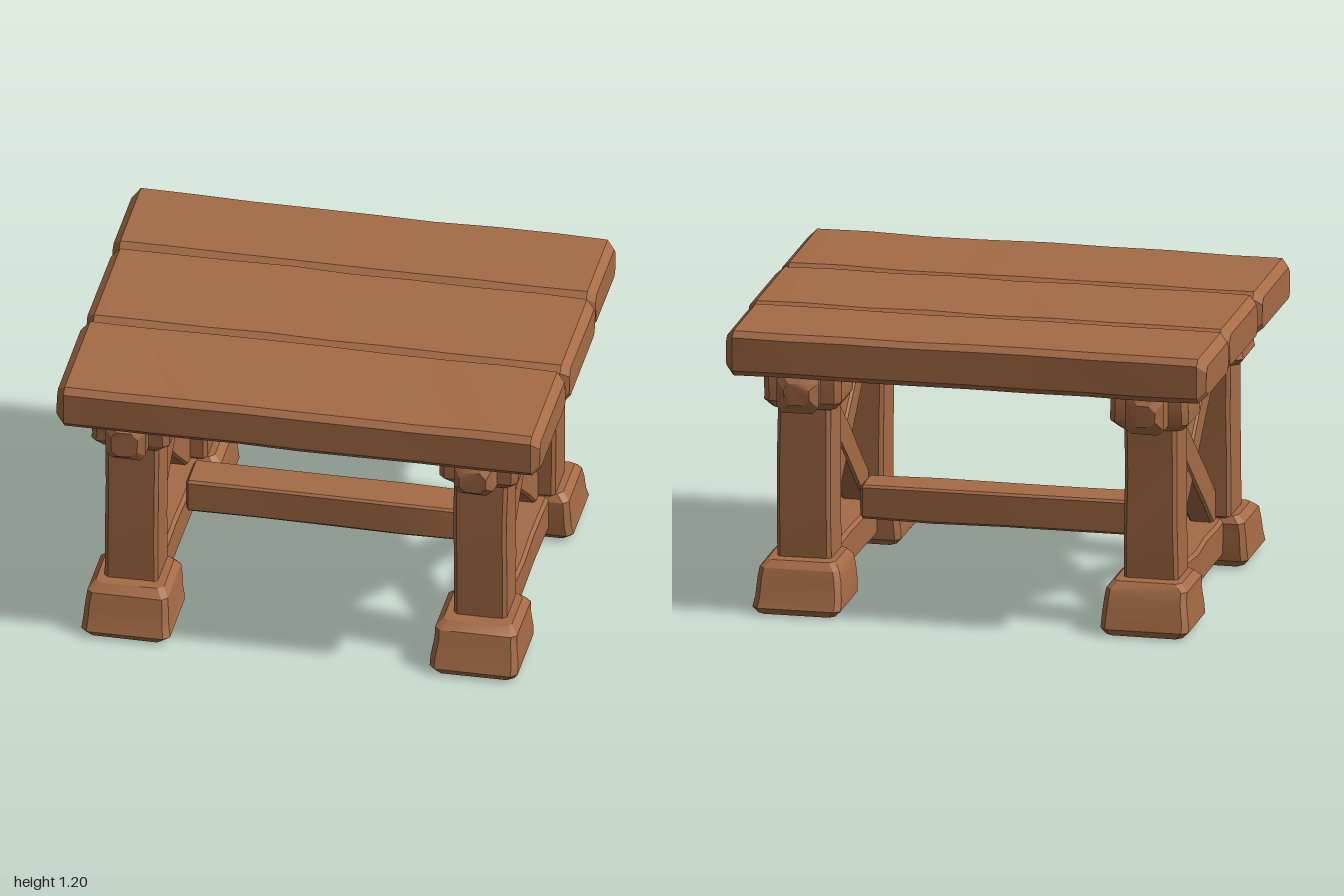
import * as THREE from 'three';
import { toCreasedNormals } from 'three/addons/utils/BufferGeometryUtils.js';

const wood = new THREE.MeshStandardMaterial({ color: 0xa56b45 });
wood.name = 'warm brown wood';

// Repeatable value in -1..1 for hand-cut unevenness
let seed = 7;
function uneven() {
  seed = (seed * 16807) % 2147483647;
  return (seed / 2147483647) * 2 - 1;
}

// Hewn timber: bevelled octagonal sections lofted along one axis.
// size is [x, y, z]; warp may move each finished vertex.
function timber(name, size, axis, pos, { bevel = 0.02, rough = 0.003, cuts = 2, warp } = {}) {
  const [sx, sy, sz] = size;
  const [len, h, w] = axis === 'x' ? [sx, sy, sz] : axis === 'y' ? [sy, sx, sz] : [sz, sy, sx];
  const stations = [[-len / 2, bevel * 0.8], [-len / 2 + bevel, 0]];
  for (let i = 1; i <= cuts; i++) stations.push([-len / 2 + (len * i) / (cuts + 1), 0]);
  stations.push([len / 2 - bevel, 0], [len / 2, bevel * 0.8]);

  const points = [], index = [];
  stations.forEach(([x, inset], i) => {
    const a = h / 2 - inset, b = w / 2 - inset, c = bevel * 0.7;
    const ring = [[a, -b + c], [a, b - c], [a - c, b], [-a + c, b],
      [-a, b - c], [-a, -b + c], [-a + c, -b], [a - c, -b]];
    const end = i === 0 || i === stations.length - 1;
    const faces = [uneven(), uneven(), uneven(), uneven()].map(v => v * rough);
    ring.forEach(([y, z]) => points.push(
      x + (end ? -Math.sign(x) * Math.abs(uneven()) * rough : 0),
      y + (y > 0 ? faces[0] : faces[1]) + uneven() * rough * 0.3,
      z + (z > 0 ? faces[2] : faces[3]) + uneven() * rough * 0.3));
  });
  const n = stations.length;
  for (let i = 0; i < n - 1; i++) {
    for (let j = 0; j < 8; j++) {
      const k = (j + 1) % 8, a = i * 8 + j, b = i * 8 + k;
      index.push(a, b, b + 8, a, b + 8, a + 8);
    }
  }
  // End faces
  const last = (n - 1) * 8;
  for (let j = 1; j < 7; j++) index.push(0, j + 1, j, last, last + j, last + j + 1);

  let geo = new THREE.BufferGeometry();
  geo.setAttribute('position', new THREE.Float32BufferAttribute(points, 3));
  geo.setIndex(index);
  if (axis === 'y') geo.rotateZ(Math.PI / 2);
  if (axis === 'z') geo.rotateY(-Math.PI / 2);
  if (warp) {
    const p = geo.attributes.position, v = new THREE.Vector3();
    for (let i = 0; i < p.count; i++) {
      warp(v.fromBufferAttribute(p, i));
      p.setXYZ(i, v.x, v.y, v.z);
    }
  }
  geo = toCreasedNormals(geo, 0.45);
  const mesh = new THREE.Mesh(geo, wood);
  mesh.name = name;
  mesh.position.set(...pos);
  return mesh;
}

// One trestle: two posts with feet and caps, two rails and a cross brace
function trestle(name, x) {
  const g = new THREE.Group();
  g.name = name;
  g.position.x = x;
  for (const s of [1, -1]) {
    const end = s > 0 ? 'front' : 'back';
    const z = v => s * v + 0.008;
    g.add(timber(end + 'Post', [0.22, 0.68, 0.214], 'y', [0, 0.53, z(0.483)], { bevel: 0.022 }));
    g.add(timber(end + 'Cap', [0.32, 0.175, 0.255], 'y', [0, 0.925, z(0.498)], { bevel: 0.035, rough: 0.004 }));

    // Foot flares outward while its inner face stays upright
    g.add(timber(end + 'Foot', [0.325, 0.215, 0.3], 'y', [0, 0.1075, z(0.518)], {
      bevel: 0.03,
      warp: v => {
        const t = THREE.MathUtils.clamp(0.5 - v.y / 0.215, 0, 1);
        v.x *= 1 + 0.14 * t;
        v.z += s * t * 0.07 * THREE.MathUtils.clamp(0.5 + (s * v.z) / 0.3, 0, 1);
        v.y = Math.max(v.y, -0.1075);
      },
    }));

    // Tapered rail end showing beyond the cap
    g.add(timber(end + 'RailEnd', [0.16, 0.155, 0.2], 'z', [0, 0.93, z(0.635)], {
      bevel: 0.035,
      rough: 0.008,
      cuts: 1,
    }));
  }
  g.add(timber('upperRail', [0.16, 0.125, 1.0], 'z', [0, 0.953, 0.008], { rough: 0.005, cuts: 4 }));
  g.add(timber('lowerRail', [0.17, 0.155, 0.96], 'z', [0, 0.125, 0.008], { rough: 0.005, cuts: 4 }));
  for (const s of [1, -1]) {
    const brace = timber('crossBrace', [s > 0 ? 0.1 : 0.085, 0.13, 1.08], 'z', [0, 0.545, 0.008],
      { bevel: 0.014, rough: 0.003, cuts: 3 });
    brace.rotation.x = s * 0.675;
    g.add(brace);
  }
  return g;
}

export function createModel() {
  const table = new THREE.Group();
  table.name = 'table';

  // Top planks: [name, back edge, front edge, x shift]
  const planks = [
    ['backPlank', -0.8, -0.339, -0.01],
    ['middlePlank', -0.336, 0.232, 0],
    ['frontPlank', 0.235, 0.797, -0.005],
  ];
  for (const [name, z0, z1, dx] of planks) {
    table.add(timber(name, [1.99, 0.184, z1 - z0], 'x', [dx, 1.107, (z0 + z1) / 2], {
      bevel: 0.035,
      rough: 0.003,
      cuts: 7,
      // Gentle wave along the outer back edge
      warp: name === 'backPlank' ? v => {
        if (v.z < 0) v.z += 0.006 + 0.006 * Math.cos(v.x * 4 + 0.6);
      } : undefined,
    }));
  }

  table.add(trestle('rightTrestle', -0.728), trestle('leftTrestle', 0.705));

  // Long stretcher between the trestles
  table.add(timber('stretcher', [1.2, 0.142, 0.175], 'x', [-0.011, 0.314, 0.007], { bevel: 0.014, cuts: 3 }));
  return table;
}
